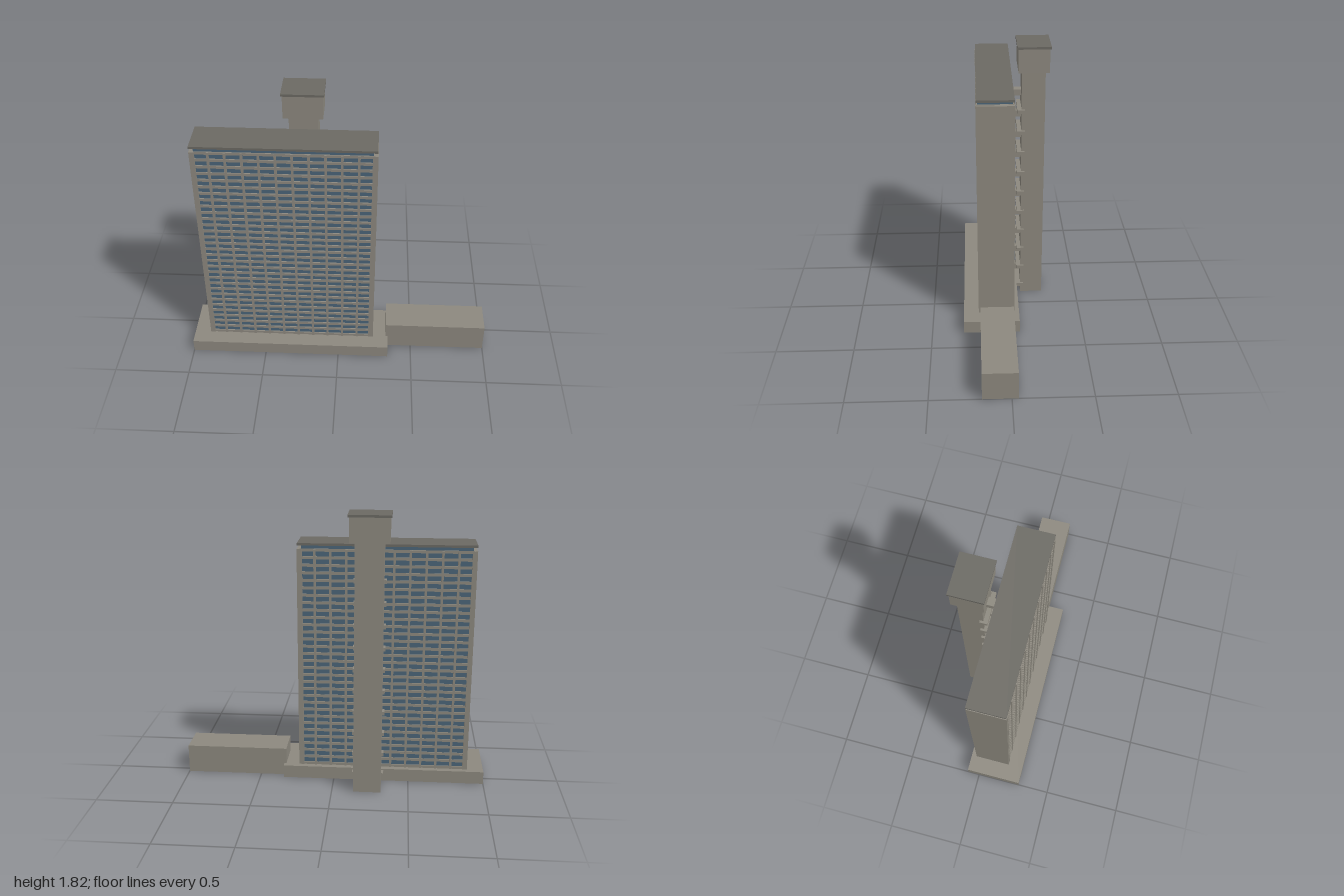
import * as THREE from 'three';

const concrete = new THREE.MeshStandardMaterial({ color: 0x8c887e });
const roofing = new THREE.MeshStandardMaterial({ color: 0x6b6963 });
const glazing = new THREE.MeshStandardMaterial({ color: 0x4a6478 });

// Box given by its extents on each axis
function block(parent, name, [x0, x1], [y0, y1], [z0, z1], material = concrete) {
  const mesh = new THREE.Mesh(new THREE.BoxGeometry(x1 - x0, y1 - y0, z1 - z0), material);
  mesh.position.set((x0 + x1) / 2, (y0 + y1) / 2, (z0 + z1) / 2);
  mesh.name = name;
  parent.add(mesh);
  return mesh;
}

function subgroup(parent, name) {
  const g = new THREE.Group();
  g.name = name;
  parent.add(g);
  return g;
}

export function createModel() {
  const model = new THREE.Group();
  model.name = 'towerBlock';

  const base = 0.085, floors = 30, storey = 0.0488;

  // Low buildings
  block(model, 'podium', [-1, 0.34], [0, base], [-0.08, 0.29]);
  block(model, 'annex', [0.326, 1], [0, 0.19], [-0.04, 0.18]);

  // Main slab: glazed core between two solid end walls
  const tower = subgroup(model, 'tower');
  block(tower, 'glazedCore', [-0.865, 0.208], [base, 1.588], [-0.035, 0.18], glazing);
  block(tower, 'endWallRight', [-0.892, -0.873], [base, 1.565], [-0.045, 0.19]);
  block(tower, 'endWallLeft', [0.218, 0.237], [base, 1.565], [-0.045, 0.19]);
  block(tower, 'roofSlab', [-0.892, 0.235], [1.587, 1.602], [-0.045, 0.188], roofing);

  // Floor bands on both facades
  const bands = subgroup(tower, 'floorBands');
  for (let i = 0; i <= floors; i++) {
    const y = base + i * storey;
    block(bands, 'floorBand', [-0.873, 0.218], [y, y + 0.018], [-0.042, 0.187]);
  }

  // Vertical fins on both facades
  const fins = subgroup(tower, 'fins');
  for (let i = 0; i < 12; i++) {
    const x = THREE.MathUtils.clamp(-0.881 + i * 0.1005, -0.868, 0.211);
    const w = 0.0075;
    block(fins, 'frontFin', [x - w, x + w], [base, 1.565], [0.17, 0.191]);
    block(fins, 'rearFin', [x - w, x + w], [base, 1.565], [-0.049, -0.03]);
  }

  // Detached service shaft with a wider plant room on top
  const service = subgroup(model, 'serviceTower');
  block(service, 'shaft', [-0.32, -0.14], [0, 1.66], [-0.257, -0.106]);
  block(service, 'plantRoom', [-0.354, -0.106], [1.65, 1.805], [-0.28, -0.083]);
  block(service, 'plantRoomRoof', [-0.362, -0.098], [1.805, 1.82], [-0.288, -0.075], roofing);

  // Link bridges and small landings every third floor
  const links = subgroup(model, 'links');
  for (let i = 0; i < 10; i++) {
    const y = 0.17 + i * storey * 3;
    block(links, 'bridge', [-0.256, -0.204], [y - 0.02, y + 0.02], [-0.11, -0.04]);
    const ly = y - 0.106;
    block(links, 'landing', [-0.334, -0.126], [ly - 0.012, ly + 0.012], [-0.128, -0.078]);
  }

  return model;
}
